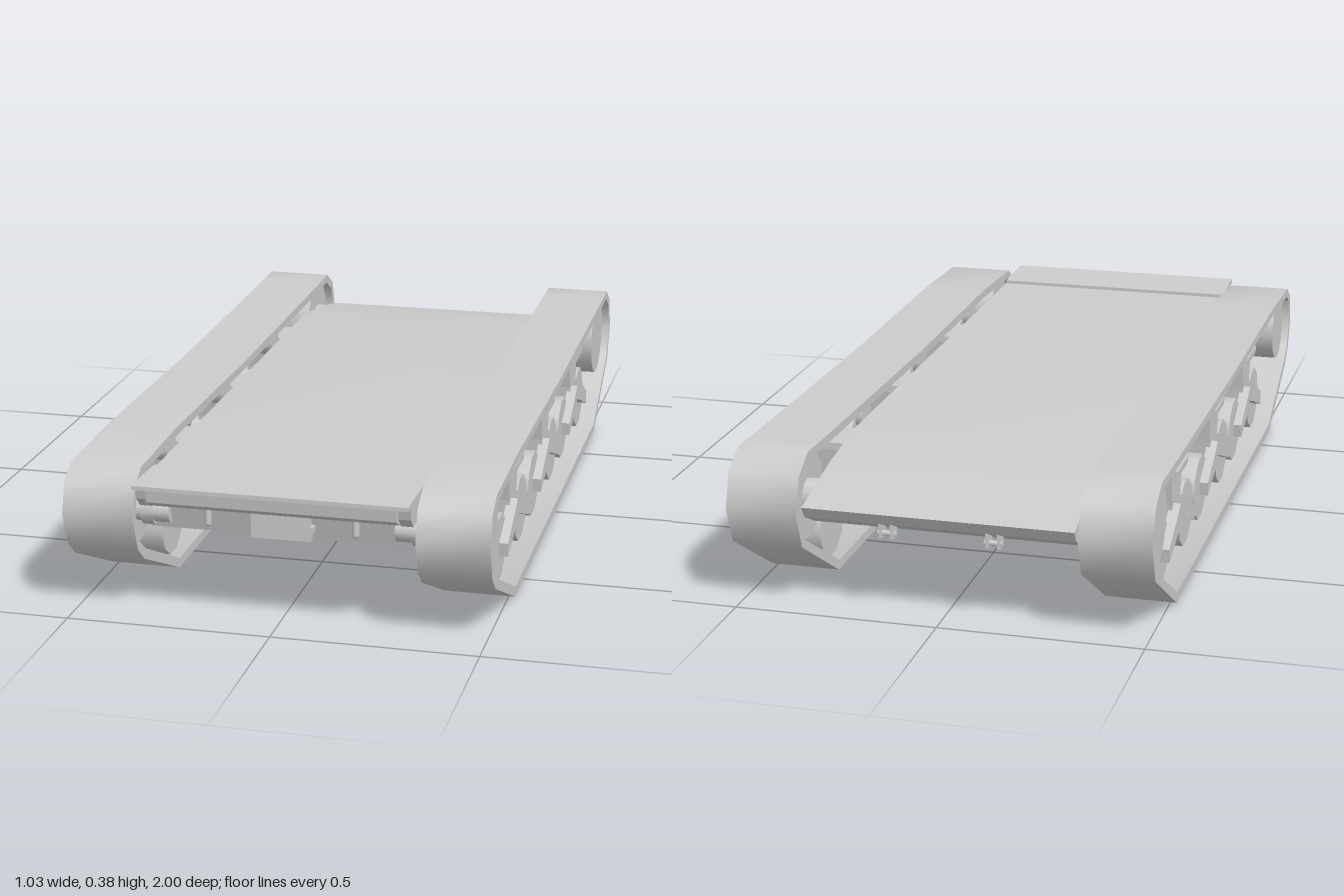
import * as THREE from 'three';
import { toCreasedNormals } from 'three/addons/utils/BufferGeometryUtils.js';

const grey = new THREE.MeshStandardMaterial({ color: 0xcccccc, side: THREE.DoubleSide });

function add(parent, name, geometry) {
  const mesh = new THREE.Mesh(geometry, grey);
  mesh.name = name;
  parent.add(mesh);
  return mesh;
}

const outline = (pts) => pts.map(([z, y]) => new THREE.Vector2(z, y));

// Side profile in (z, y), extruded across x from a to b
function slab(pts, a, b, hole) {
  const shape = new THREE.Shape(outline(pts));
  if (hole) shape.holes.push(new THREE.Path(outline(hole)));
  const geo = new THREE.ExtrudeGeometry(shape, { depth: b - a, bevelEnabled: false });
  return geo.rotateY(-Math.PI / 2).translate(b, 0, 0);
}

// Cylinder lying along x from a to b
function roller(r, a, b, y, z, sides = 12) {
  return new THREE.CylinderGeometry(r, r, b - a, sides)
    .rotateZ(Math.PI / 2).translate((a + b) / 2, y, z);
}

function box(w, h, d, x, y, z) {
  return new THREE.BoxGeometry(w, h, d).translate(x, y, z);
}

const trackOuter = [
  [0.62, 0], [0.89, 0.125], [0.935, 0.165], [0.967, 0.25], [0.945, 0.325], [0.893, 0.358],
  [0.62, 0.368], [0, 0.362], [-0.82, 0.372], [-0.905, 0.375], [-0.972, 0.335], [-1, 0.25],
  [-0.965, 0.155], [-0.71, 0],
];
const trackInner = [
  [0.615, 0.024], [0.876, 0.146], [0.917, 0.178], [0.944, 0.25], [0.927, 0.311], [0.886, 0.336],
  [0.62, 0.346], [0, 0.341], [-0.82, 0.35], [-0.897, 0.353], [-0.953, 0.32], [-0.977, 0.25],
  [-0.946, 0.168], [-0.703, 0.024],
];

function buildHull(group) {
  // Main tub with a sloping tail
  add(group, 'hull', toCreasedNormals(slab([
    [0.86, 0.335], [0.88, 0.27], [0.86, 0.2], [0.74, 0.165], [-0.75, 0.165], [-0.9, 0.2],
    [-0.97, 0.235], [-0.99, 0.265], [-0.78, 0.31], [-0.58, 0.335],
  ], -0.33, 0.33), 0.4));

  // Overhanging nose: thin top plate, lip and end cheeks
  add(group, 'nosePlate', slab([[0.83, 0.334], [1, 0.338], [1, 0.348], [0.83, 0.344]], -0.33, 0.33));
  add(group, 'noseLip', slab([[0.86, 0.285], [0.95, 0.285], [0.985, 0.305], [0.99, 0.342], [0.86, 0.338]], -0.3, 0.3));
  for (const s of [-1, 1]) {
    add(group, 'noseCheek', slab([[0.85, 0.28], [0.94, 0.28], [0.965, 0.305], [0.975, 0.34], [0.85, 0.338]],
      s > 0 ? 0.3 : -0.33, s > 0 ? 0.33 : -0.3));
  }

  // Access panel with a small latch
  add(group, 'frontPanel', box(0.145, 0.07, 0.02, -0.002, 0.236, 0.876));
  add(group, 'panelLatch', box(0.01, 0.015, 0.02, 0.075, 0.233, 0.883));

  // Towing loops at both ends
  for (const s of [-1, 1]) {
    add(group, 'frontTowBar', new THREE.CapsuleGeometry(0.009, 0.035, 4, 8).translate(s * 0.18, 0.246, 0.885));
    const hook = new THREE.Group();
    hook.name = 'rearTowHook';
    for (const t of [-1, 1]) {
      add(hook, 'hookLug', box(0.008, 0.035, 0.035, s * 0.13 + t * 0.014, 0.215, -0.95));
    }
    add(hook, 'hookPin', roller(0.007, s * 0.13 - 0.022, s * 0.13 + 0.022, 0.21, -0.96, 8));
    group.add(hook);
  }
}

// Suspension unit: bracket, swing arms, two road wheels and a return roller
function buildBogie(span, z) {
  const bogie = new THREE.Group();
  bogie.name = 'bogie';
  const move = (pts) => pts.map(([dz, y]) => [z + dz, y]);

  add(bogie, 'mountPlate', slab(move([[-0.06, 0.13], [0.06, 0.13], [0.06, 0.285], [-0.06, 0.285]]), ...span(0.325, 0.35)));
  add(bogie, 'bracket', slab(move([
    [-0.045, 0.14], [0.045, 0.14], [0.05, 0.2], [0.065, 0.275], [-0.06, 0.275], [-0.05, 0.2],
  ]), ...span(0.34, 0.475)));
  add(bogie, 'skidPlate', slab(move([[-0.062, 0.274], [0.062, 0.274], [0.062, 0.292], [-0.062, 0.292]]), ...span(0.36, 0.49)));
  add(bogie, 'rollerArm', slab(move([[0.05, 0.235], [0.06, 0.272], [0.135, 0.325], [0.155, 0.295], [0.1, 0.27]]), ...span(0.385, 0.435)));
  add(bogie, 'returnRoller', roller(0.036, ...span(0.365, 0.46), 0.306, z + 0.14, 10));

  for (const d of [-1, 1]) {
    add(bogie, 'roadWheel', roller(0.086, ...span(0.365, 0.47), 0.112, z + d * 0.147, 10));
    add(bogie, 'swingArm', slab(move([
      [d * 0.03, 0.14], [d * 0.155, 0.092], [d * 0.16, 0.128], [d * 0.06, 0.18], [d * 0.03, 0.2],
    ]), ...span(0.465, 0.492)));
  }
  return bogie;
}

function buildRunningGear(side) {
  const gear = new THREE.Group();
  gear.name = side > 0 ? 'leftRunningGear' : 'rightRunningGear';
  const span = (a, b) => (side > 0 ? [a, b] : [-b, -a]);

  add(gear, 'track', toCreasedNormals(slab(trackOuter, ...span(0.34, 0.515), trackInner), 0.75));

  // End wheels and their axle housings
  add(gear, 'frontWheel', roller(0.093, ...span(0.36, 0.495), 0.25, 0.853, 12));
  add(gear, 'frontAxle', roller(0.03, ...span(0.275, 0.37), 0.245, 0.865, 12));
  add(gear, 'frontHub', roller(0.042, ...span(0.315, 0.345), 0.245, 0.853, 12));
  add(gear, 'rearWheel', roller(0.109, ...span(0.36, 0.495), 0.25, -0.86, 14));
  add(gear, 'rearAxle', roller(0.042, ...span(0.3, 0.37), 0.25, -0.86, 12));

  for (const z of [0.44, -0.047, -0.535]) gear.add(buildBogie(span, z));
  return gear;
}

export function createModel() {
  const model = new THREE.Group();
  model.name = 'trackedChassis';
  const hull = new THREE.Group();
  hull.name = 'hullAssembly';
  buildHull(hull);
  model.add(hull, buildRunningGear(1), buildRunningGear(-1));
  return model;
}
